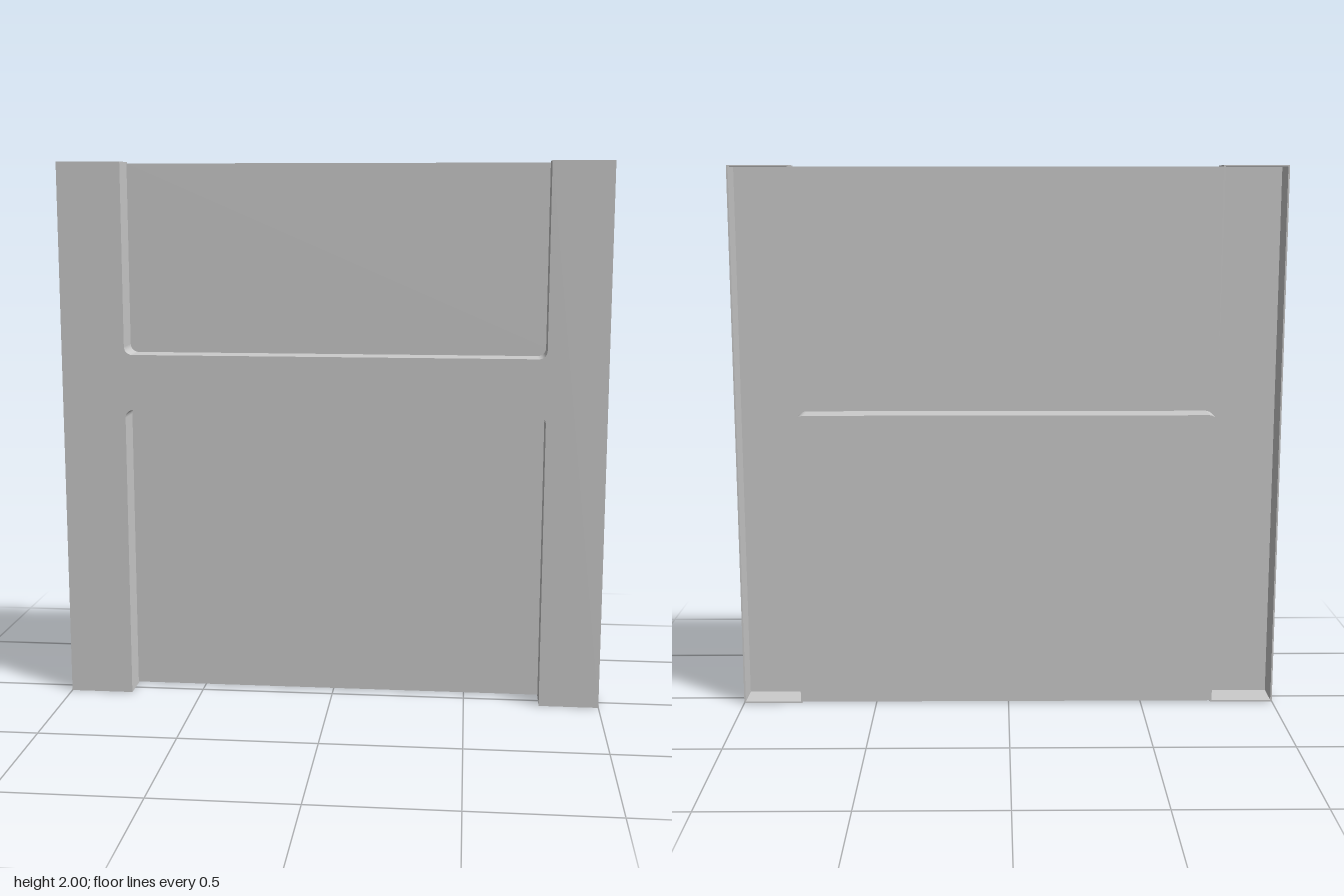
import * as THREE from 'three';

const T = 0.006;               // sheet thickness
const BACK = -0.057, FRONT = 0.056;
const XL = -0.765, XR = 0.78;  // sides of the two recesses
const BAR0 = 1.095, BAR1 = 1.3; // crossbar bottom and top
const R = 0.03;                // recess corner radius

// H-shaped outline, moved inwards by d
function frameOutline(d, PathType) {
  const o = 1 - d, b = d, t = 2 - d, l = XL - d, r = XR + d;
  const lo = BAR0 + d, hi = BAR1 - d, rad = R + d;
  const p = new PathType();
  p.moveTo(-o, b);
  p.lineTo(l, b);
  p.lineTo(l, lo - rad);
  p.absarc(l + rad, lo - rad, rad, Math.PI, Math.PI / 2, true);
  p.lineTo(r - rad, lo);
  p.absarc(r - rad, lo - rad, rad, Math.PI / 2, 0, true);
  p.lineTo(r, b);
  p.lineTo(o, b);
  p.lineTo(o, t);
  p.lineTo(r, t);
  p.lineTo(r, hi + rad);
  p.absarc(r - rad, hi + rad, rad, 0, -Math.PI / 2, true);
  p.lineTo(l + rad, hi);
  p.absarc(l + rad, hi + rad, rad, -Math.PI / 2, -Math.PI, true);
  p.lineTo(l, t);
  p.lineTo(-o, t);
  p.closePath();
  return p;
}

// Recess outline: square at yEnd, rounded where it meets the crossbar at yBar
function panelShape(yEnd, yBar) {
  const s = Math.sign(yBar - yEnd);
  const p = new THREE.Shape();
  p.moveTo(XL, yEnd);
  p.lineTo(XR, yEnd);
  p.lineTo(XR, yBar - s * R);
  p.absarc(XR - R, yBar - s * R, R, 0, s * Math.PI / 2, s < 0);
  p.lineTo(XL + R, yBar);
  p.absarc(XL + R, yBar - s * R, R, s * Math.PI / 2, s * Math.PI, s < 0);
  p.closePath();
  return p;
}

export function createModel() {
  const group = new THREE.Group();
  const material = new THREE.MeshStandardMaterial({ color: 0xcccccc });

  const add = (name, shape, z, depth) => {
    const geometry = new THREE.ExtrudeGeometry(shape, { depth, bevelEnabled: false, curveSegments: 8 });
    const mesh = new THREE.Mesh(geometry, material);
    mesh.name = name;
    mesh.position.z = z;
    group.add(mesh);
  };

  // Raised H-shaped face
  add('frameFace', frameOutline(0, THREE.Shape), FRONT - T, T);

  // Walls round the frame, open at the back
  const walls = frameOutline(0, THREE.Shape);
  walls.holes.push(frameOutline(T, THREE.Path));
  add('frameWalls', walls, BACK, FRONT - T - BACK);

  // Recessed panels in the back plane
  add('lowerPanel', panelShape(0.005, BAR0), BACK, T);
  add('upperPanel', panelShape(1.995, BAR1), BACK, T);

  return group;
}
